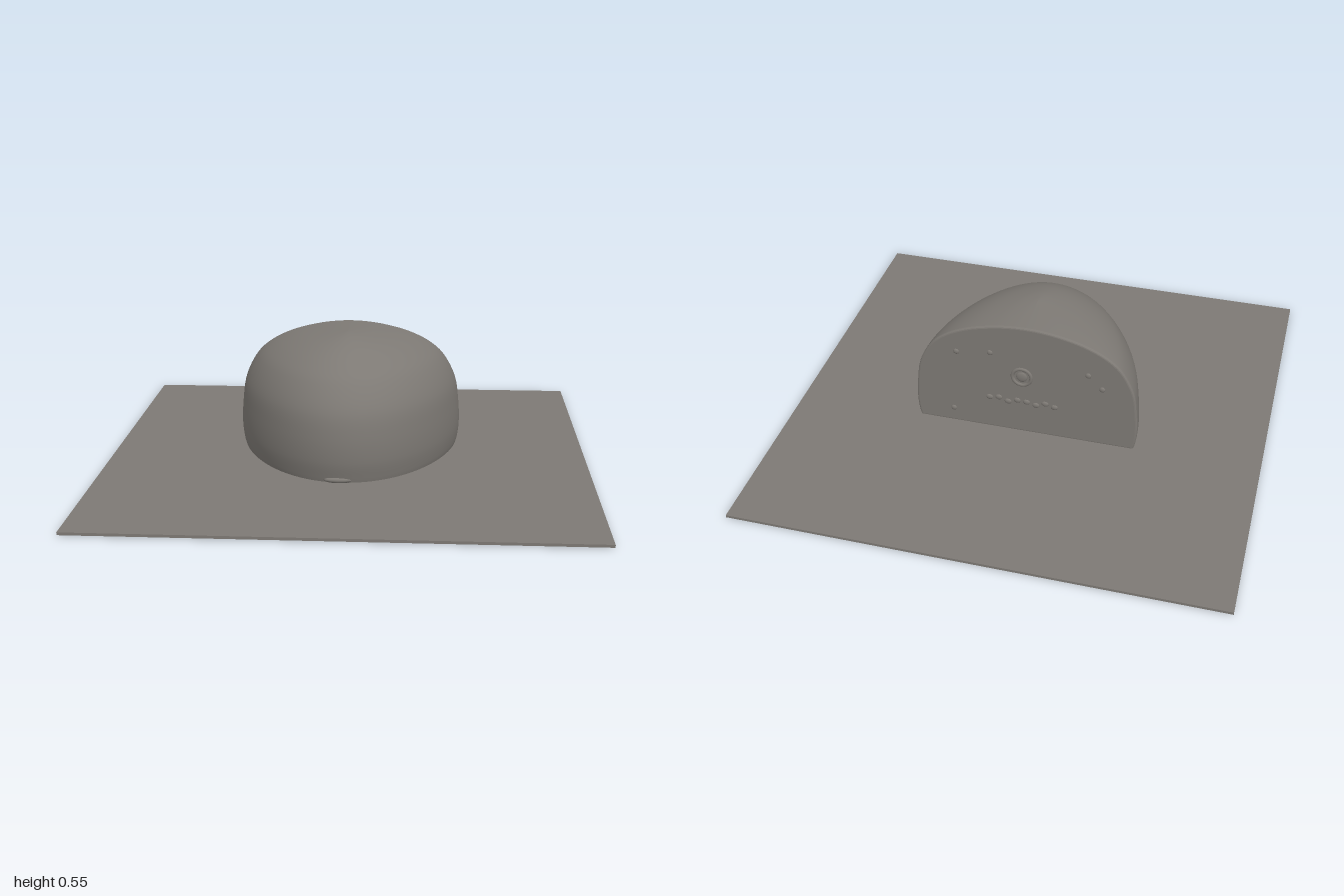
import * as THREE from 'three';
import { mergeVertices } from 'three/addons/utils/BufferGeometryUtils.js';

const BACK = -0.19;

export function createModel() {
  const model = new THREE.Group();
  model.name = 'domedStoneOnSlab';
  const stone = new THREE.MeshStandardMaterial({ color: 0x7d7974 });
  stone.name = 'warm grey stone';

  const add = (name, geometry, x = 0, y = 0, z = 0) => {
    const mesh = new THREE.Mesh(geometry, stone);
    mesh.name = name;
    mesh.position.set(x, y, z);
    model.add(mesh);
    return mesh;
  };

  // Thin square slab and the shallow foot under it
  add('slab', new THREE.BoxGeometry(2, 0.011, 2), 0, 0.0095, 0);
  add('slabFoot', new THREE.BoxGeometry(0.96, 0.004, 1.01), 0.01, 0.002, 0.145);

  // Rising profile: half width, height, front depth
  const profile = new THREE.CatmullRomCurve3([
    [0.463, 0.01, 0.412], [0.47, 0.035, 0.418], [0.477, 0.1, 0.43], [0.472, 0.2, 0.43],
    [0.456, 0.3, 0.41], [0.405, 0.4, 0.348], [0.345, 0.455, 0.285], [0.25, 0.502, 0.2],
    [0.13, 0.533, 0.1], [0.05, 0.543, 0.035], [0, 0.545, 0],
  ].map((p) => new THREE.Vector3(...p)), false, 'centripetal');
  const layers = profile.getPoints(60);

  // Dome: D-shaped horizontal layers, shrinking to a ridge at the top
  const n = 64, positions = [], index = [];
  layers.forEach((p, i) => {
    for (let j = 0; j <= n; j++) {
      const t = (Math.PI * j) / n;
      const s = Math.pow(Math.max(0, Math.sin(t)), 1.25);
      positions.push(p.x * Math.cos(t), p.y, BACK + (p.z - BACK) * s);
      if (i < layers.length - 1 && j < n) {
        const a = i * (n + 1) + j, c = a + n + 1;
        index.push(a, c, a + 1, a + 1, c, c + 1);
      }
    }
  });
  let dome = new THREE.BufferGeometry();
  dome.setAttribute('position', new THREE.Float32BufferAttribute(positions, 3));
  dome.setIndex(index);
  dome = mergeVertices(dome, 1e-5);
  dome.computeVertexNormals();
  add('dome', dome, -0.004);

  // Flat back face with a softened rim
  const outline = [
    ...layers.map((p) => new THREE.Vector2(p.x, p.y)),
    ...layers.slice(0, -1).reverse().map((p) => new THREE.Vector2(-p.x, p.y)),
  ];
  const face = new THREE.ExtrudeGeometry(new THREE.Shape(outline), {
    depth: 0.004, bevelEnabled: true, bevelThickness: 0.009,
    bevelSize: 0.009, bevelOffset: -0.009, bevelSegments: 3,
  });
  add('backFace', face, -0.004, 0, -0.194);

  // Low worn relief on the back: a plain ring, pegs and a row of pebbly bumps
  const z = -0.202;
  add('reliefRing', new THREE.TorusGeometry(0.04, 0.008, 8, 28), 0.01, 0.3, z);
  const bump = new THREE.SphereGeometry(1, 12, 8);
  const addBump = (name, x, y, rx, ry) => add(name, bump, x, y, z).scale.set(rx, ry, 0.007);
  addBump('reliefCentre', 0.01, 0.3, 0.025, 0.025);
  [[0.29, 0.38], [0.31, 0.08], [0.145, 0.4], [-0.27, 0.36], [-0.33, 0.3]]
    .forEach(([x, y]) => addBump('reliefPeg', x, y, 0.013, 0.013));
  for (let i = 0; i < 8; i++) {
    addBump('reliefPebble', 0.15 - i * 0.04, 0.17 + 0.008 * Math.sin(i * 2.3), 0.016, 0.013);
  }

  // Small worn lump at the foot of the front
  add('frontLump', bump, -0.02, 0.025, 0.405).scale.set(0.06, 0.014, 0.02);

  return model;
}
